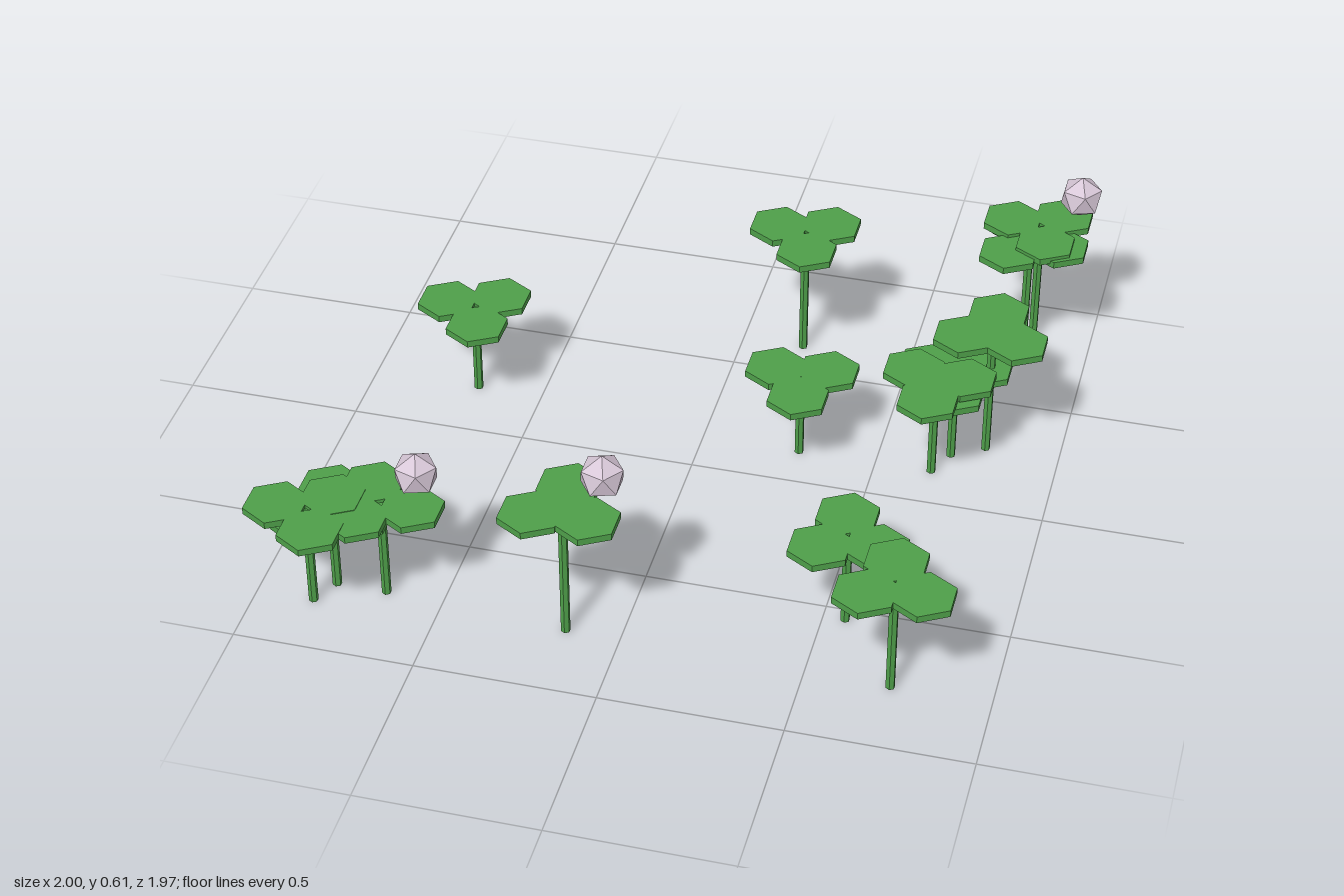
import * as THREE from 'three';

const LEAF_RADIUS = 0.09, LEAF_THICKNESS = 0.02, LEAF_OFFSET = 0.086, STEM_RADIUS = 0.013;

// x, z, leaf height, turn of the first leaf in degrees (from +x towards +z)
const CLOVERS = [
  [-0.69, -0.20, 0.28, 70],
  [0.18, -0.625, 0.40, 76],
  [0.28, -0.135, 0.255, 83],
  [-0.15, 0.765, 0.42, 26],
  [0.56, 0.54, 0.285, 17],
  [0.73, 0.77, 0.35, 21],
  [0.83, -0.835, 0.395, 72],
  [0.81, -0.77, 0.385, 5],
  [0.79, -0.28, 0.41, 30],
  [0.66, -0.14, 0.307, 94],
  [0.70, -0.225, 0.28, 82],
  [-0.84, 0.813, 0.305, 64],
  [-0.66, 0.735, 0.303, 0],
  [-0.80, 0.735, 0.263, 10],
];

const FLOWERS = [
  [-0.555, 0.432, 0.737],
  [-0.04, 0.55, 0.768],
  [0.94, 0.524, -0.835],
];

export function createModel() {
  const green = new THREE.MeshStandardMaterial({ color: 0x4f9f4a, flatShading: true });
  green.name = 'cloverGreen';
  const pink = new THREE.MeshStandardMaterial({ color: 0xd8c8d8, flatShading: true });
  pink.name = 'palePink';

  const model = new THREE.Group();
  model.name = 'cloverPatch';

  const leafGeometry = new THREE.CylinderGeometry(LEAF_RADIUS, LEAF_RADIUS, LEAF_THICKNESS, 6);
  // Turned so that one corner points straight up
  const flowerGeometry = new THREE.IcosahedronGeometry(0.064, 0);
  flowerGeometry.rotateZ(-Math.atan(2 / (1 + Math.sqrt(5))));

  const add = (parent, name, geometry, material, x, y, z) => {
    const mesh = new THREE.Mesh(geometry, material);
    mesh.name = name;
    mesh.position.set(x, y, z);
    parent.add(mesh);
  };

  // Clovers: a thin stem under three hexagonal leaves
  for (const [x, z, height, turn] of CLOVERS) {
    const clover = new THREE.Group();
    clover.name = 'clover';
    clover.position.set(x, 0, z);
    const stem = new THREE.CylinderGeometry(STEM_RADIUS, STEM_RADIUS, height, 6);
    add(clover, 'stem', stem, green, 0, height / 2, 0);
    for (let i = 0; i < 3; i++) {
      const a = THREE.MathUtils.degToRad(turn + i * 120);
      add(clover, 'leaf', leafGeometry, green, Math.cos(a) * LEAF_OFFSET, height, Math.sin(a) * LEAF_OFFSET);
    }
    model.add(clover);
  }

  // Round faceted blossoms floating above the leaves
  for (const [x, y, z] of FLOWERS) add(model, 'blossom', flowerGeometry, pink, x, y, z);

  return model;
}
